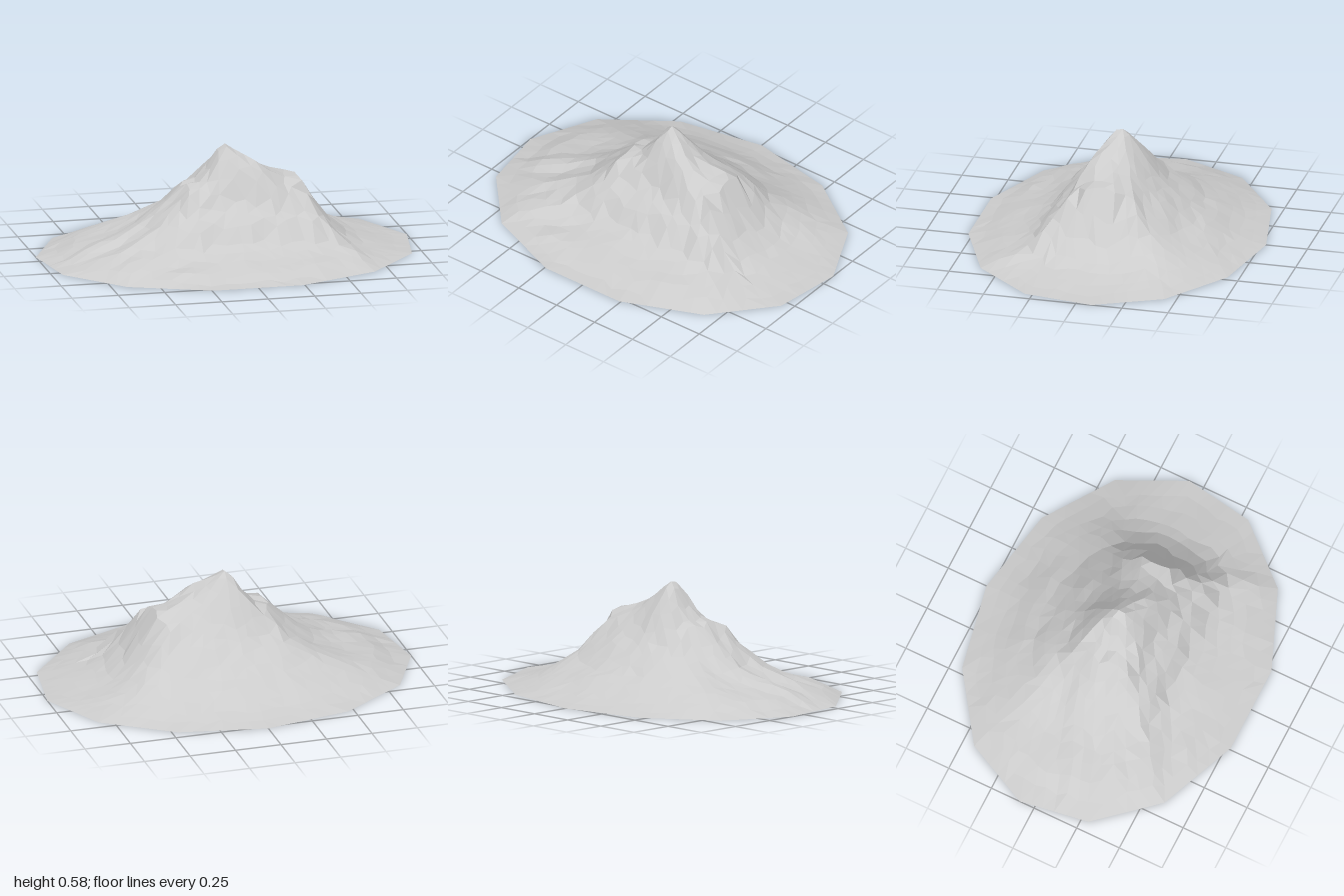
import * as THREE from 'three';

// Ridge line seen from the front: [x, height]
const CREST = [[-1, 0], [-0.9, 0.025], [-0.8, 0.065], [-0.6, 0.115], [-0.45, 0.18], [-0.3, 0.3],
  [-0.23, 0.39], [-0.15, 0.41], [-0.1, 0.46], [-0.04, 0.55], [0, 0.58], [0.1, 0.52], [0.2, 0.46],
  [0.28, 0.41], [0.4, 0.385], [0.46, 0.28], [0.52, 0.19], [0.6, 0.11], [0.67, 0.065], [0.8, 0.03], [1, 0]];
// Slopes seen from the side: [z, height]
const SLOPE = [[-0.78, 0], [-0.6, 0.045], [-0.47, 0.12], [-0.4, 0.15], [-0.3, 0.24], [-0.2, 0.32],
  [-0.1, 0.46], [-0.02, 0.57], [0.04, 0.57], [0.12, 0.45], [0.2, 0.31], [0.3, 0.24], [0.35, 0.15],
  [0.45, 0.09], [0.6, 0.05], [0.7, 0.015], [0.78, 0]];
const PEAK = 0.58, SIDES = 13, RINGS = 13, SECTORS = 6;
const { smoothstep, lerp } = THREE.MathUtils;

function sample(profile, t) {
  for (let i = 1; i < profile.length; i++) {
    const [a, ha] = profile[i - 1], [b, hb] = profile[i];
    if (t <= b) return ha + (hb - ha) * Math.max(0, (t - a) / (b - a));
  }
  return 0;
}

// Small seeded generator for the rocky irregularity
function seeded(seed) {
  return () => (seed = (seed * 16807) % 2147483647) / 2147483647;
}

// Foot of the mountain: a 13-sided ellipse, u runs once around
function outline(u) {
  const corner = (k) => {
    const a = (k / SIDES) * Math.PI * 2;
    return new THREE.Vector2(1.007 * Math.sin(a), 0.011 - 0.787 * Math.cos(a));
  };
  const s = u * SIDES, k = Math.floor(s);
  return corner(k).lerp(corner(k + 1), s - k);
}

function heightAt(x, z, f) {
  // Ridge and slope together; both shoulders are broad and reach a little forward
  const crest = sample(CREST, x);
  const shoulder = smoothstep(Math.abs(x), 0.02, 0.25) * (1 - smoothstep(z, 0.1, 0.35));
  const slope = sample(SLOPE, z > 0 ? Math.max(0, z - 0.06 * shoulder) : z);
  let h = lerp(crest * slope / PEAK, Math.min(crest, slope), 0.6);
  // The back spreads into a rounded cone
  const cone = sample(SLOPE, -Math.hypot(z, (x > 0 ? 0.72 : 0.66) * x));
  h = lerp(h, cone, 0.8 * smoothstep(-z, 0.1, 0.4));
  // Spurs that run down to the left front, and shallow lumps all over
  const band = Math.sin(Math.PI * f);
  const leftFront = smoothstep(-x, 0.15, 0.5) * smoothstep(z, -0.1, 0.15);
  h += 0.016 * leftFront * band * (0.3 + Math.sin(30 * (z + 0.35 * x)));
  h += 0.04 * h * Math.sin(13 * x + 5 * z) * Math.sin(15 * z - 4 * x);
  return Math.max(0, h * Math.min(1, (1 - f) * 8));
}

// Triangulated disc: ring r carries 6r points, so facets keep an even size
function mountainGeometry() {
  const random = seeded(71);
  const positions = [0, PEAK, 0], index = [];
  for (let r = 1; r <= RINGS; r++) {
    const count = SECTORS * r, edge = r === RINGS;
    for (let s = 0; s < count; s++) {
      const shake = edge || r < 3 ? 0 : 0.45;
      const f = ((r + shake * (random() - 0.5)) / RINGS) ** 1.2;
      const u = ((s + shake * (random() - 0.5)) / count + 1) % 1;
      const p = outline(u).multiplyScalar(f);
      const rough = 1 + shake * (random() - 0.5) * 0.08;
      positions.push(p.x, edge ? 0 : heightAt(p.x, p.y, f) * rough, p.y);
    }
  }
  const id = (r, s) => r === 0 ? 0 : 1 + SECTORS * r * (r - 1) / 2 + s % (SECTORS * r);
  for (let r = 1; r <= RINGS; r++) {
    for (let k = 0; k < SECTORS; k++) {
      for (let i = 0; i < r; i++) {
        const inner = k * (r - 1) + i, outer = k * r + i;
        index.push(id(r - 1, inner), id(r, outer + 1), id(r, outer));
        if (i < r - 1) index.push(id(r - 1, inner), id(r - 1, inner + 1), id(r, outer + 1));
      }
    }
  }
  const geometry = new THREE.BufferGeometry();
  geometry.setAttribute('position', new THREE.Float32BufferAttribute(positions, 3));
  geometry.setIndex(index);
  geometry.computeVertexNormals();
  return geometry;
}

export function createModel() {
  const group = new THREE.Group();
  group.name = 'mountain';
  // Open shell of rock, hollow underneath
  const rock = new THREE.Mesh(mountainGeometry(), new THREE.MeshStandardMaterial({
    color: 0xcccccc, flatShading: true, side: THREE.DoubleSide,
  }));
  rock.name = 'rockSlopes';
  group.add(rock);
  return group;
}
